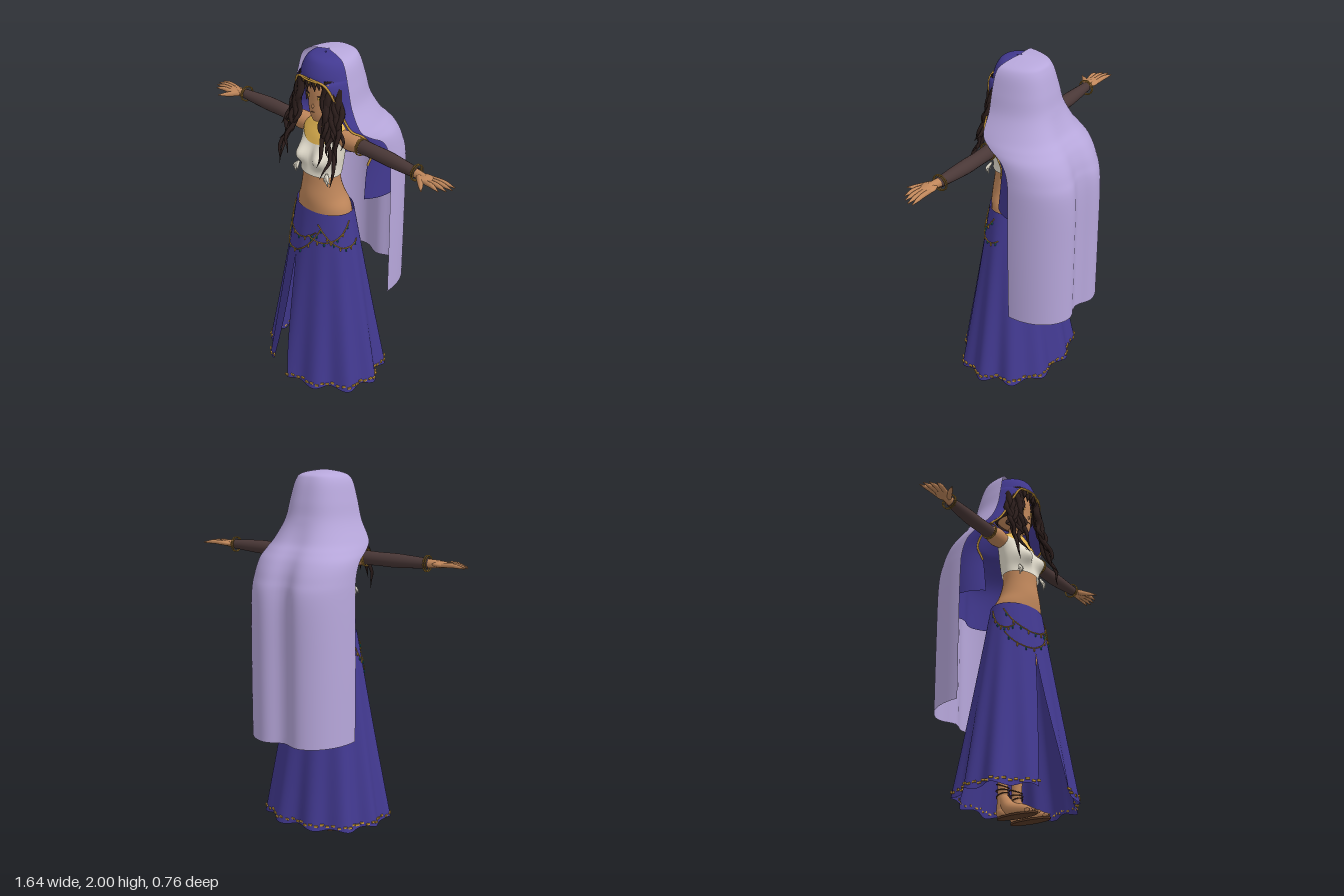
import * as THREE from 'three';
import { mergeVertices } from 'three/addons/utils/BufferGeometryUtils.js';

const { sin, cos, abs, PI, min, max, sign, exp } = Math;

export function createModel() {
  const model = new THREE.Group();
  const paint = (name, color) => {
    const m = new THREE.MeshStandardMaterial({ color, side: THREE.DoubleSide });
    m.name = name;
    return m;
  };
  const blue = paint('indigo cloth', 0x423990), lavender = paint('lavender cloth', 0xb7a7db);
  const skin = paint('skin', 0xc0875b), cream = paint('cream cloth', 0xe6e0d0);
  const yellow = paint('yellow collar', 0xe3b551), sleeveMat = paint('dark sleeve', 0x4a3837);
  const hairMat = paint('dark hair', 0x2b1d1b), gold = paint('gold', 0xc5963b);
  const teal = paint('teal bead', 0x1f7a72), brown = paint('brown', 0x5c3c28);

  const add = (name, geometry, mat, x = 0, y = 0, z = 0) => {
    const mesh = new THREE.Mesh(geometry, mat);
    mesh.name = name;
    mesh.position.set(x, y, z);
    model.add(mesh);
    return mesh;
  };
  const ball = (name, mat, x, y, z, sx, sy, sz, n = 20) =>
    add(name, new THREE.SphereGeometry(1, n, max(4, n * 0.7 | 0)).scale(sx, sy, sz), mat, x, y, z);

  // Smooth interpolation through a table of cross-sections
  const at = (rows, t) => {
    const n = rows.length, i = min(Math.floor(t), n - 2), f = t - i;
    return rows[0].map((_, c) => {
      const p = k => rows[min(max(i + k, 0), n - 1)][c];
      const m0 = (p(1) - p(-1)) / 2, m1 = (p(2) - p(0)) / 2, d = p(1) - p(0);
      return p(0) + f * (m0 + f * (3 * d - 2 * m0 - m1 + f * (m0 + m1 - 2 * d)));
    });
  };

  // Surface from a rule f(u, v); faces out when u runs right and v runs up
  const surf = (name, mat, nu, nv, f) => {
    const pos = [], index = [];
    for (let j = 0; j <= nv; j++) for (let i = 0; i <= nu; i++) pos.push(...f(i / nu, j / nv));
    for (let j = 0; j < nv; j++) for (let i = 0; i < nu; i++) {
      const a = j * (nu + 1) + i, b = a + 1, c = a + nu + 1, d = c + 1;
      index.push(a, b, d, a, d, c);
    }
    let g = new THREE.BufferGeometry();
    g.setAttribute('position', new THREE.Float32BufferAttribute(pos, 3));
    g.setIndex(index);
    g = mergeVertices(g, 1e-5);
    g.computeVertexNormals();
    return add(name, g, mat);
  };

  // Oval body ring; rows are [y, half width, front z, back z]
  const ring = (rows, a, t, grow = 0) => {
    const [y, w, f, b] = at(rows, t);
    return [(w + grow) * sin(a), y, (f + b) / 2 + ((f - b) / 2 + grow) * cos(a)];
  };
  const body = (name, mat, rows) => surf(name, mat, 36, (rows.length - 1) * 5,
    (u, v) => ring(rows, u * 2 * PI, v * (rows.length - 1)));

  // Tapered tube through points, with radii spread evenly along it
  const limb = (name, mat, pts, radii, seg = 16, sides = 10) => {
    const curve = new THREE.CatmullRomCurve3(pts.map(p => new THREE.Vector3(...p)));
    const g = new THREE.TubeGeometry(curve, seg, 1, sides), p = g.attributes.position;
    const rows = radii.map(r => [r]), v = new THREE.Vector3();
    for (let i = 0; i < p.count; i++) {
      const k = Math.floor(i / (sides + 1)) / seg, c = curve.getPointAt(k);
      const r = rows.length > 1 ? at(rows, k * (rows.length - 1))[0] : radii[0];
      v.fromBufferAttribute(p, i).sub(c).multiplyScalar(r).add(c);
      p.setXYZ(i, v.x, v.y, v.z);
    }
    return add(name, g, mat);
  };

  // Head, face and neck
  const headRows = [[1.637, .004, .14, .12], [1.647, .03, .152, .08], [1.69, .064, .16, .02], [1.75, .09, .158, -.04],
    [1.82, .1, .156, -.06], [1.9, .09, .14, -.05], [1.945, .05, .1, 0], [1.955, .003, .06, .05]];
  body('head', skin, headRows);
  add('neck', new THREE.CylinderGeometry(.04, .046, .13, 20), skin, 0, 1.625, .07);
  ball('nose', skin, 0, 1.728, .158, .006, .012, .01, 10);
  ball('mouth', brown, 0, 1.697, .16, .012, .002, .003, 10);
  for (const s of [-1, 1]) {
    ball('eye', yellow, s * .047, 1.775, .146, .021, .012, .004, 14).rotation.y = s * .4;
    ball('iris', brown, s * .046, 1.775, .149, .009, .011, .003, 12).rotation.y = s * .4;
    ball('lash', hairMat, s * .047, 1.788, .148, .023, .0025, .004, 10).rotation.y = s * .4;
  }

  // Hair: cap, fringe and long wavy locks
  surf('hairCap', hairMat, 30, 20, (u, v) => ring(headRows, .95 + u * (2 * PI - 1.9), 2.6 + v * 4.4, .014));
  for (let i = -4; i <= 4; i++) {
    const x = i * .023, z = .172 - x * x * 4;
    limb('fringe', hairMat, [[x * .85, 1.9, z - .02], [x, 1.865, z], [x * 1.08, 1.83 - .012 * (i & 1), z]], [.012, .014, .001], 8, 6);
  }
  for (const s of [-1, 1]) for (let i = 0; i < 10; i++) {
    const q = i / 9, r = (i * 7 % 10) / 9, pts = [];
    const len = .3 + .23 * r * r;
    for (let k = 0; k <= 12; k++) {
      const t = k / 12, wave = sin(t * 15 + i * 2.1) * .016 * t;
      pts.push([s * (.085 + .03 * q + t * (.03 + .075 * q - .03 * (1 - r)) + wave), 1.89 - len * t,
        .155 - .05 * q + t * t * (.02 + .085 * r) + .02 * t + cos(t * 15 + i) * .014 * t]);
    }
    limb('longLock', hairMat, pts, [.008, .02, .019, .015, .012, .009, .001], 36, 7);
  }

  // Torso, cropped top with soft bust, and collar
  body('midriff', skin, [[1.06, .165, .19, -.05], [1.15, .155, .198, -.04], [1.22, .125, .2, -.015],
    [1.3, .11, .188, .01], [1.38, .11, .18, .015]]);
  const topRows = [[1.35, .118, .194, .01], [1.4, .12, .182, 0], [1.48, .13, .168, -.005], [1.55, .135, .15, -.005],
    [1.6, .105, .125, .005], [1.625, .06, .11, .025], [1.63, .03, .095, .045]];
  const topAt = (a, t, grow) => {
    const [x, y, z] = ring(topRows, a, t, grow);
    const bump = cos(a) > 0 ? exp(-(((abs(x) - .065) / .045) ** 2) - ((y - 1.45) / .05) ** 2) : 0;
    return [x * (1 + .06 * bump), y, z + .055 * bump * min(1, cos(a) * 2)];
  };
  surf('croppedTop', cream, 64, 42, (u, v) => topAt(u * 2 * PI, v * 6, 0));
  surf('collar', yellow, 48, 16, (u, v) => {
    const a = u * 2 * PI, lo = 2.55 + 1.05 * sin(a) ** 2;
    return topAt(a, lo + v * (5.7 - lo), .005);
  });
  for (const s of [-1, 1]) for (let i = -1; i <= 1; i++)
    limb('topTie', cream, [[s * .1, 1.38, .165], [s * (.112 + i * .012), 1.35, .18], [s * (.115 + i * .018), 1.315 + abs(i) * .02, .175]],
      [.006, .008, .002], 8, 6);

  // Arms, sleeves, bangles and hands
  for (const s of [-1, 1]) {
    const y = 1.555;
    limb('shoulder', skin, [[s * .08, y, .06], [s * .16, y, .06], [s * .26, y, .06]], [.035, .05, .036], 14, 16);
    limb('sleeve', sleeveMat, [[s * .235, y, .06], [s * .4, y, .06], [s * .61, y, .07]], [.038, .036, .037, .032, .026], 20, 18);
    for (const [x, r] of [[.24, .044], [.25, .044], [.597, .04], [.608, .04]]) {
      const band = add('bangle', new THREE.TorusGeometry(r, .003, 6, 24), gold, s * x, y, .065);
      band.rotation.y = PI / 2;
    }
    limb('wrist', skin, [[s * .59, y, .07], [s * .63, y, .075], [s * .67, y, .08]], [.023, .022, .02], 8, 12);
    ball('palm', skin, s * .672, y, .08, .052, .016, .04);
    [[.818, .045], [.822, .07], [.808, .098], [.782, .125]].forEach(([x, z], i) =>
      limb('finger', skin, [[s * .685, y, .055 + i * .017], [s * (x + .685) / 2, y + .004, (z + .055 + i * .017) / 2], [s * x, y - .004, z]],
        [.012, .012, .01, .003], 10, 8));
    limb('thumb', skin, [[s * .64, y, .09], [s * .68, y - .006, .13], [s * .718, y - .01, .172]], [.017, .015, .011, .003], 10, 8);
  }

  // Legs, feet, soles and anklets
  for (const s of [-1, 1]) {
    limb('leg', skin, [[s * .078, 1.1, .07], [s * .07, .6, .055], [s * .064, .35, .035], [s * .06, .035, .024]],
      [.08, .08, .068, .055, .046, .044, .027, .03], 28, 16);
    limb('foot', skin, [[s * .06, .11, .028], [s * .06, .055, .065], [s * .06, .032, .14], [s * .06, .018, .222]],
      [.027, .037, .032, .026, .006], 16, 14);
    ball('heel', skin, s * .06, .036, .024, .031, .034, .033);
    for (let i = 0; i < 5; i++) ball('toe', skin, s * (.034 + i * .014), .016, .218 - i * .007, .008, .01, .018, 8);
    add('sole', new THREE.CylinderGeometry(1, 1, .01, 28).scale(.04, 1, .118), brown, s * .06, .005, .112);
    for (let i = 0; i < 3; i++) {
      const band = add('anklet', new THREE.TorusGeometry(.034, .003, 6, 20), brown, s * .06, .12 + i * .025, .027);
      band.rotation.x = PI / 2 + (i - 1) * .35;
    }
  }

  // Long flared skirt with a front slit
  const skirtAt = (a, y, out = 0) => {
    const v = (1.14 - y) / 1.05, fold = 1 + v * (.05 * cos(11 * a + 1) + .025 * cos(5 * a));
    return [((.172 + .178 * v) * fold + out) * sin(a), y, .075 + ((.125 + .165 * v) * fold + out) * cos(a)];
  };
  const slit = y => min(max((.85 - y) / .76, 0), 1);
  const skirtAngle = (u, y) => {
    const g = slit(y), a0 = -.3 + .28 * g, a1 = 2 * PI - .3 - .25 * g;
    return a0 + u * (a1 - a0);
  };
  surf('skirt', blue, 160, 36, (u, v) => {
    const y = 1.14 - 1.05 * v;
    return skirtAt(skirtAngle(u, y), y + .008 * v * sin(u * 60));
  });
  for (let i = 0; i < 64; i++) {
    const a = skirtAngle(i / 63, .11), [x, y, z] = skirtAt(a, .11, .003);
    add('hemBead', new THREE.BoxGeometry(.02, .01, .008), gold, x, y + .008 * (i % 2), z).rotation.y = a;
  }

  // Hip chains with hanging beads: [start angle, end angle, end heights, sag]
  for (const [a0, a1, y0, y1, sag] of [[-1.3, .35, 1.1, 1.03, .09], [-1.2, .5, .95, 1.06, .13],
    [.1, 1.5, 1.0, 1.1, .06], [.4, 1.75, 1.08, .98, .07], [-1.8, -.9, 1.1, 1.0, .06]]) {
    const p = t => skirtAt(a0 + (a1 - a0) * t, y0 + (y1 - y0) * t - 4 * sag * t * (1 - t), .006);
    limb('hipChain', gold, Array.from({ length: 14 }, (_, i) => p(i / 13)), [.0032], 36, 6);
    for (let i = 0; i < 7; i++) {
      const [x, y, z] = p((i + .5) / 7);
      ball('hipBead', i % 2 ? gold : teal, x, y - .012, z, .005, .01, .005, 8);
    }
  }

  // Cloth wrapped round the back; rows are [y, half width, front z, back z, wrap angle]
  const cloth = (rows, power) => (u, v) => {
    const [y, w, zf, zb, A] = at(rows, v * (rows.length - 1)), a = (u * 2 - 1) * A;
    const x = w * sign(sin(a)) * abs(sin(a)) ** power;
    const low = min(max((1.75 - y) / .35, 0), 1);
    const notch = low * .05 * exp(-((x / .07) ** 2)) * max(cos(a), 0);
    return [x + .008 * low, y, zb + (zf - zb) * (1 - cos(a)) / (1 - cos(A)) + notch];
  };
  const H = PI / 2;
  surf('outerVeil', lavender, 72, 66, cloth([[2, .004, .05, .04, H], [1.985, .1, .07, -.08, H], [1.95, .145, .085, -.115, H],
    [1.85, .175, .09, -.145, H], [1.75, .2, .09, -.17, H], [1.65, .25, .085, -.225, H], [1.6, .27, .03, -.27, H],
    [1.55, .28, -.05, -.31, H], [1.47, .285, -.09, -.35, H], [1.35, .29, -.1, -.38, H], [1, .295, -.1, -.382, H],
    [.6, .295, -.1, -.382, H]], .75));
  const inner = cloth([[1.99, .004, .07, .06, PI], [1.978, .085, .135, -.06, PI], [1.945, .122, .165, -.09, PI],
    [1.89, .145, .183, -.12, PI], [1.865, .155, .168, -.13, 2.45], [1.75, .185, .13, -.15, 2.2], [1.65, .23, .112, -.2, 2],
    [1.6, .25, .05, -.245, 1.9], [1.5, .265, -.02, -.315, 2], [1.4, .268, 0, -.34, 2.2], [1.22, .27, .02, -.345, 2.2]], 1);
  surf('innerVeil', blue, 72, 60, inner);

  // Gold trim along the inner veil's edge, and the forehead band
  for (const u of [0, 1])
    limb('veilTrim', gold, Array.from({ length: 22 }, (_, i) => inner(u, .31 + .58 * i / 21)), [.006], 60, 6);
  limb('headband', gold, [[-.105, 1.872, .15], [-.055, 1.878, .178], [0, 1.88, .19], [.055, 1.878, .178], [.105, 1.872, .15]], [.005], 24, 6);
  for (let i = -2; i <= 2; i++) ball('headbandDrop', gold, i * .04, 1.866, .187 - i * i * .006, .004, .009, .004, 8);

  return model;
}
